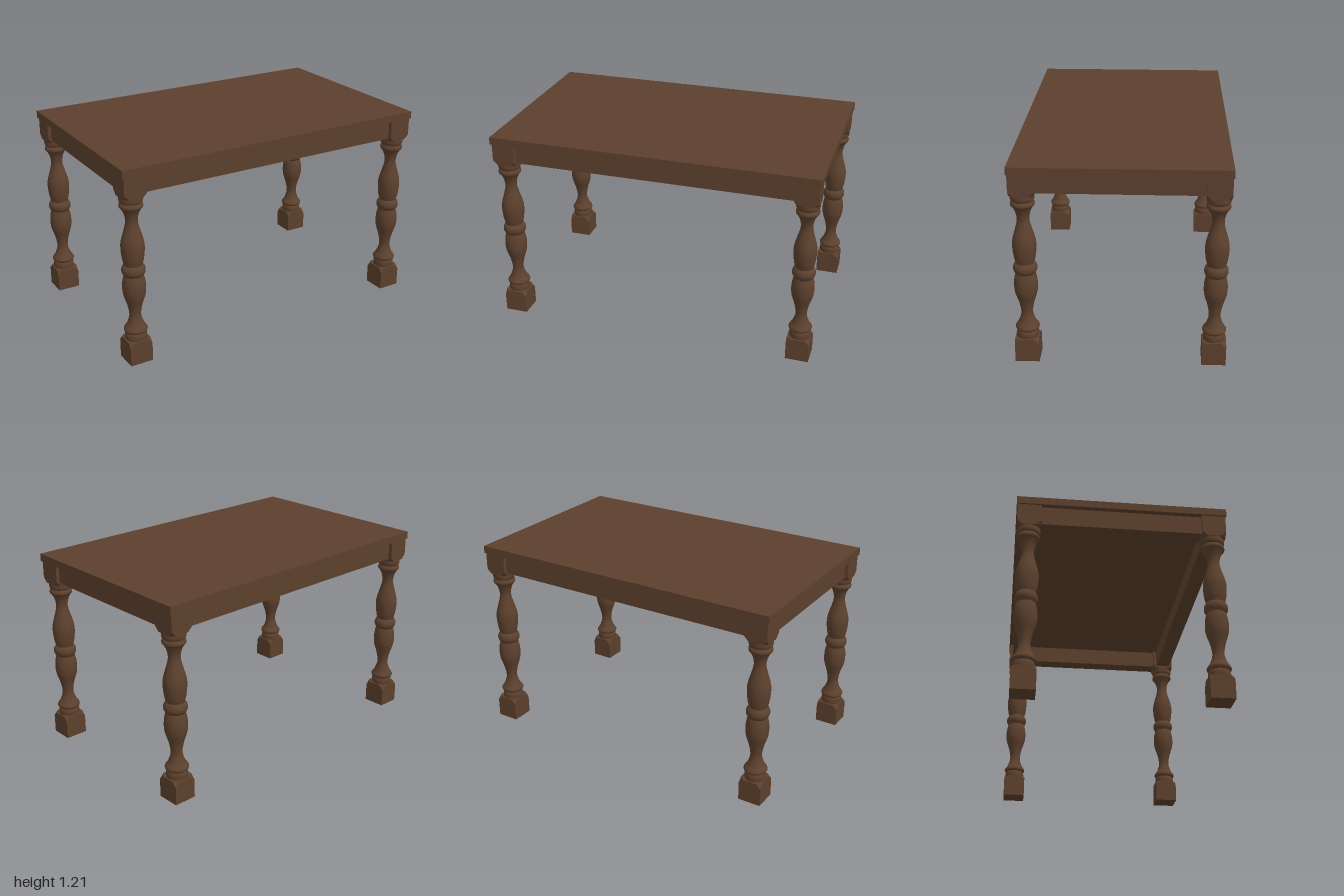
import * as THREE from 'three';
import { ConvexGeometry } from 'three/addons/geometries/ConvexGeometry.js';

const wood = new THREE.MeshStandardMaterial({ color: 0x5c402d });
wood.name = 'dark wood';

const LEG_X = 0.92, LEG_Z = 0.54, HALF = 0.07;

// Turned leg profile as [radius, y]; each run is smooth, joints stay crisp
const runs = [
  [[0.062, 0.138], [0.064, 0.155], [0.063, 0.172], [0.058, 0.185]],
  [[0.058, 0.185], [0.067, 0.193], [0.069, 0.205], [0.061, 0.219]],
  [[0.061, 0.219], [0.049, 0.238], [0.034, 0.29], [0.043, 0.355], [0.063, 0.42], [0.068, 0.465], [0.065, 0.51], [0.056, 0.547]],
  [[0.056, 0.547], [0.066, 0.563], [0.069, 0.58], [0.065, 0.598], [0.053, 0.614]],
  [[0.053, 0.614], [0.062, 0.65], [0.068, 0.71], [0.064, 0.76], [0.043, 0.835], [0.035, 0.88], [0.043, 0.925], [0.058, 0.955]],
  [[0.058, 0.955], [0.067, 0.965], [0.068, 0.978], [0.06, 0.993]],
  [[0.06, 0.993], [0.066, 1.0], [0.069, 1.012], [0.069, 1.035]],
];

function mesh(name, geometry, x = 0, y = 0, z = 0) {
  const m = new THREE.Mesh(geometry, wood);
  m.name = name;
  m.position.set(x, y, z);
  return m;
}

// Square block whose four corners are clipped at the yCut end
function clippedBlock(yFlat, yCut, chamfer) {
  const pts = [];
  const yStart = yCut - Math.sign(yCut - yFlat) * chamfer;
  const c = HALF - chamfer;
  for (const sx of [-1, 1]) for (const sz of [-1, 1]) {
    pts.push(
      new THREE.Vector3(sx * HALF, yFlat, sz * HALF),
      new THREE.Vector3(sx * HALF, yStart, sz * HALF),
      new THREE.Vector3(sx * c, yCut, sz * HALF),
      new THREE.Vector3(sx * HALF, yCut, sz * c),
    );
  }
  return new ConvexGeometry(pts);
}

function createLeg() {
  const leg = new THREE.Group();
  leg.name = 'leg';
  leg.add(mesh('footBlock', clippedBlock(0, 0.142, 0.028)));
  leg.add(mesh('topBlock', clippedBlock(1.165, 1.032, 0.028)));
  for (const run of runs) {
    const curve = new THREE.SplineCurve(run.map(([r, y]) => new THREE.Vector2(r, y)));
    leg.add(mesh('turning', new THREE.LatheGeometry(curve.getPoints(run.length * 4), 40)));
  }
  return leg;
}

export function createModel() {
  const table = new THREE.Group();
  table.name = 'table';

  table.add(mesh('tableTop', new THREE.BoxGeometry(2, 0.045, 1.23), 0, 1.1875, 0));

  // Aprons between the leg blocks, set back from their faces
  const thick = 0.095, height = 0.115, y = 1.1075;
  const longApron = new THREE.BoxGeometry(2 * (LEG_X - HALF), height, thick);
  const shortApron = new THREE.BoxGeometry(thick, height, 2 * (LEG_Z - HALF));
  for (const s of [-1, 1]) {
    table.add(mesh('longApron', longApron, 0, y, s * LEG_Z));
    table.add(mesh('shortApron', shortApron, s * LEG_X, y, 0));
  }

  // Four identical legs
  for (const sx of [-1, 1]) for (const sz of [-1, 1]) {
    const leg = createLeg();
    leg.position.set(sx * LEG_X, 0, sz * LEG_Z);
    table.add(leg);
  }
  return table;
}
